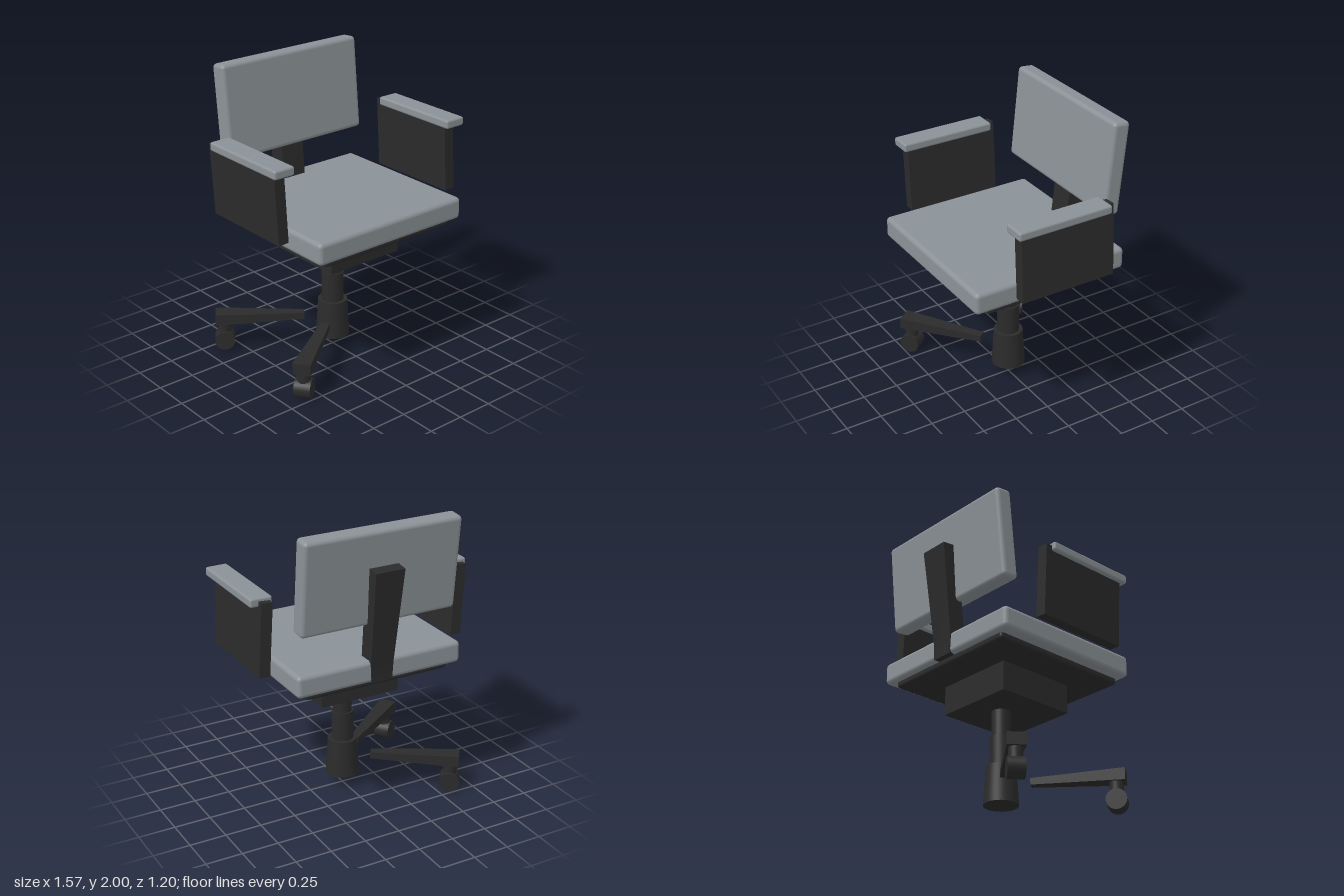
import * as THREE from 'three';
import { RoundedBoxGeometry } from 'three/addons/geometries/RoundedBoxGeometry.js';

const upholstery = new THREE.MeshStandardMaterial({ color: 0x8b9297 });
upholstery.name = 'grey upholstery';
const frame = new THREE.MeshStandardMaterial({ color: 0x2b2b2b });
frame.name = 'black frame';

export function createModel() {
  const chair = new THREE.Group();
  chair.name = 'officeChair';

  const add = (name, geometry, material, x, y, z, parent = chair) => {
    const mesh = new THREE.Mesh(geometry, material);
    mesh.name = name;
    mesh.position.set(x, y, z);
    parent.add(mesh);
    return mesh;
  };
  const rounded = (w, h, d, r) => new RoundedBoxGeometry(w, h, d, 3, r);
  // Box whose vertices are moved by a rule
  const shaped = (w, h, d, ySegments, rule) => {
    const g = new THREE.BoxGeometry(w, h, d, 1, ySegments, 1);
    const p = g.attributes.position;
    const v = new THREE.Vector3();
    for (let i = 0; i < p.count; i++) {
      rule(v.fromBufferAttribute(p, i));
      p.setXYZ(i, v.x, v.y, v.z);
    }
    g.computeVertexNormals();
    return g;
  };

  // Seat, its support plate and the mechanism box
  add('seat', rounded(1.19, 0.15, 1.11, 0.03), upholstery, 0, 1.05, 0.045);
  add('seatPlate', rounded(1.03, 0.07, 1.035, 0.02), frame, 0, 0.97, 0.047);
  add('mechanism', new THREE.BoxGeometry(0.57, 0.21, 0.57), frame, 0, 0.84, 0.045);

  // Backrest, leaning back
  const back = add('backrest', rounded(1.11, 0.635, 0.122, 0.028), upholstery, 0, 1.679, -0.452);
  back.rotation.x = -0.1;

  // Back post: widens upwards, upright behind the seat and leaning above it
  const post = shaped(1, 2, 1, 2, (v) => {
    const front = v.z > 0;
    const [y, halfWidth, zFront, zRear] = v.y < -0.5 ? [0.975, 0.075, -0.4, -0.514]
      : v.y < 0.5 ? [1.1, 0.082, -0.395, -0.516]
        : [front ? 1.755 : 1.742, 0.103, -0.485, -0.603];
    v.set(Math.sign(v.x) * halfWidth, y, front ? zFront : zRear);
  });
  add('backPost', post, frame, 0, 0, 0);

  // Armrests: both panels lean the same way
  for (const [side, name] of [[1, 'left'], [-1, 'right']]) {
    add(name + 'ArmPad', rounded(0.152, 0.06, 0.67, 0.015), upholstery, side * 0.708, 1.56, 0.075);
    const panel = add(name + 'ArmPanel', new THREE.BoxGeometry(0.075, 0.49, 0.67), frame,
      side * 0.705, 1.322, 0.03);
    panel.rotation.z = 0.06;
  }

  // Stepped centre column: top radius, bottom radius, bottom y, top y
  const column = [
    ['baseHub', 0.1, 0.115, 0.09, 0.35],
    ['columnSleeve', 0.075, 0.075, 0.35, 0.555],
    ['gasLift', 0.063, 0.063, 0.555, 0.74],
  ];
  for (const [name, top, bottom, y0, y1] of column) {
    add(name, new THREE.CylinderGeometry(top, bottom, y1 - y0, 32), frame, 0, (y0 + y1) / 2, 0);
  }

  // Two tapered legs with casters, both on the right side
  const legShape = shaped(0.605, 0.08, 0.12, 1, (v) => {
    if (v.x < 0) {
      v.y *= 0.55;
      v.z *= 0.5;
    }
  });
  for (const [name, angle] of [['front', Math.PI * 1.2], ['rear', Math.PI * 0.8]]) {
    const leg = new THREE.Group();
    leg.name = name + 'LegAssembly';
    leg.rotation.y = angle;
    chair.add(leg);
    add(name + 'Leg', legShape, frame, 0.4975, 0.23, 0, leg);
    add(name + 'CasterStem', new THREE.CylinderGeometry(0.045, 0.045, 0.13, 24), frame, 0.74, 0.145, 0, leg);
    const wheel = add(name + 'CasterWheel', new THREE.CylinderGeometry(0.068, 0.068, 0.11, 28), frame,
      0.74, 0.068, 0, leg);
    wheel.rotation.x = Math.PI / 2;
  }

  return chair;
}
